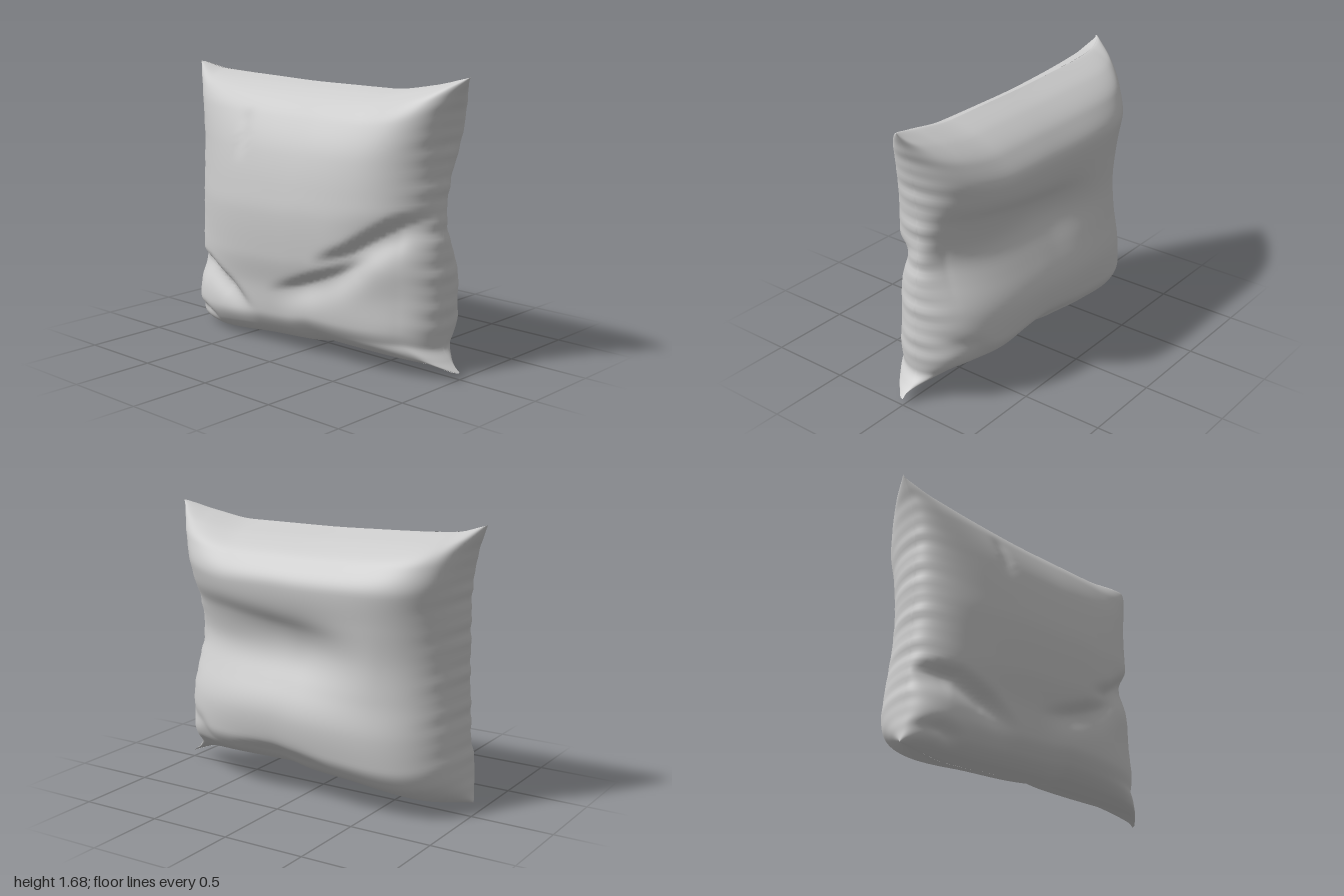
import * as THREE from 'three';

// Monotone cubic interpolation through [t, value] pairs
function curve(pts) {
  const n = pts.length;
  const d = [];
  for (let i = 0; i < n - 1; i++) d.push((pts[i + 1][1] - pts[i][1]) / (pts[i + 1][0] - pts[i][0]));
  const m = pts.map((p, i) => {
    if (i === 0) return d[0];
    if (i === n - 1) return d[n - 2];
    return d[i - 1] * d[i] <= 0 ? 0 : (2 * d[i - 1] * d[i]) / (d[i - 1] + d[i]);
  });
  return (t) => {
    let i = 0;
    while (i < n - 2 && t > pts[i + 1][0]) i++;
    const h = pts[i + 1][0] - pts[i][0];
    const s = Math.min(1, Math.max(0, (t - pts[i][0]) / h));
    const s2 = s * s, s3 = s2 * s;
    return (2 * s3 - 3 * s2 + 1) * pts[i][1] + (s3 - 2 * s2 + s) * h * m[i]
      + (3 * s2 - 2 * s3) * pts[i + 1][1] + (s3 - s2) * h * m[i + 1];
  };
}
const { lerp, smoothstep } = THREE.MathUtils;

// Seam outline: top and bottom heights over u, side positions over v
const topY = curve([[-1, 1.66], [-0.85, 1.62], [-0.4, 1.6], [0, 1.59], [0.5, 1.59], [0.8, 1.63], [1, 1.68]]);
const bottomY = curve([[-1, 0.04], [-0.72, 0], [-0.3, 0.03], [0, 0.05], [0.2, 0.08], [0.55, 0.08], [0.84, 0.08], [1, 0.04]]);
const minusX = curve([[-1, -0.96], [-0.9, -0.95], [-0.65, -0.935], [-0.3, -0.91], [0, -0.9], [0.45, -0.9], [0.75, -0.93], [1, -1]]);
const plusX = curve([[-1, 1], [-0.93, 0.93], [-0.84, 0.88], [-0.7, 0.89], [-0.3, 0.88], [0.1, 0.85], [0.4, 0.86], [0.65, 0.89], [0.85, 0.94], [1, 1]]);
const topZ = curve([[-1, 0.1], [-0.6, 0.04], [0, 0.01], [0.6, 0], [1, -0.04]]);
const bottomZ = curve([[-1, 0.11], [-0.6, 0.14], [0, 0.12], [0.6, 0.08], [1, 0]]);

// Depth of the stuffed panels down the middle, over v
const toV = ([y, z]) => [(y - 0.05) / 0.77 - 1, z];
const frontZ = curve([[0.05, 0.12], [0.08, 0.2], [0.14, 0.275], [0.23, 0.325], [0.4, 0.345], [0.6, 0.385], [0.85, 0.4],
  [1, 0.385], [1.2, 0.345], [1.4, 0.255], [1.5, 0.17], [1.56, 0.085], [1.59, 0.01]].map(toV));
const backZ = curve([[0.05, 0.12], [0.085, 0], [0.15, -0.17], [0.23, -0.31], [0.33, -0.375], [0.5, -0.395], [0.7, -0.365],
  [0.9, -0.345], [1.1, -0.36], [1.28, -0.375], [1.43, -0.29], [1.53, -0.15], [1.59, 0.01]].map(toV));

// Folds: path points, depth, width above the line, width below it
const frontFolds = [
  { path: [[0.95, 0.95], [0.72, 0.86], [0.45, 0.68], [0.2, 0.58]], depth: 0.07, above: 0.04, below: 0.12 },
  { path: [[0.6, 0.66], [0.35, 0.54], [0.1, 0.44], [-0.2, 0.34]], depth: 0.05, above: 0.04, below: 0.1, inner: true },
  { path: [[-0.93, 0.46], [-0.72, 0.43], [-0.52, 0.33], [-0.28, 0.18]], depth: 0.065, above: 0.035, below: 0.1 },
  { path: [[-0.95, 0.12], [-0.8, 0.11], [-0.65, 0.04]], depth: 0.04, above: 0.04, below: 0.05 },
  { path: [[-0.42, 1.45], [-0.4, 1.3], [-0.4, 1.1]], depth: 0.01, above: 0.04, below: 0.05, inner: true },
];
const backFolds = [
  { path: [[0.9, 1.12], [0.5, 1.09], [0.1, 1.03], [-0.4, 0.97]], depth: 0.025, above: 0.07, below: 0.12 },
  { path: [[0.45, 0.25], [0.1, 0.27], [-0.3, 0.22]], depth: 0.03, above: 0.06, below: 0.08, inner: true },
  { path: [[0.9, 0.42], [0.7, 0.36], [0.55, 0.2]], depth: 0.02, above: 0.05, below: 0.08 },
];

// Depth of a fold at a point, fading towards the ends that lie on the panel
function foldDepth({ path, depth, above, below, inner }, x, y) {
  let best = Infinity, side = 1, along = 0;
  for (let i = 0; i < path.length - 1; i++) {
    const [ax, ay] = path[i], [bx, by] = path[i + 1];
    const dx = bx - ax, dy = by - ay;
    const t = Math.min(1, Math.max(0, ((x - ax) * dx + (y - ay) * dy) / (dx * dx + dy * dy)));
    const px = x - ax - t * dx, py = y - ay - t * dy;
    const dist = Math.hypot(px, py);
    if (dist < best) { best = dist; side = py; along = (i + t) / (path.length - 1); }
  }
  const w = side > 0 ? above : below;
  const fade = (1 - smoothstep(along, 0.6, 1)) * (inner ? smoothstep(along, 0, 0.35) : 1);
  return depth * Math.exp(-((best / w) ** 2)) * fade;
}

// Fullness across the width: blunt at the sides, zero on the seam, fuller at the back
const fullness = (u, dir) => {
  const power = dir < 0 ? 4 : u < 0 ? 3 : 2.5;
  return Math.sqrt(Math.max(0, 1 - Math.pow(Math.abs(u), power)));
};

function pillowPoint(u, v, dir) {
  const p = fullness(u, dir);
  const edgeU = Math.max(0, 1 - u * u), edgeV = Math.max(0, 1 - v * v);
  const inside = Math.min(1, p * 1.6) * Math.min(1, edgeV * 4);
  // Small gathers along the side seams
  const gather = 0.004 * (Math.sin(v * 31) + Math.sin(v * 53 + 1)) * edgeV * Math.pow(Math.abs(u), 14);
  const x = lerp(minusX(v), plusX(v), (u + 1) / 2) + gather;
  const y = lerp(bottomY(u), topY(u), (v + 1) / 2);
  const seam = lerp(bottomZ(u), topZ(u), (v + 1) / 2);
  let z = lerp(seam, (dir > 0 ? frontZ : backZ)(v), p);
  // Stuffing pushed into the corners
  z += dir * 0.45 * Math.sqrt(edgeU * edgeV) * Math.pow(Math.abs(u * v), 3);
  let push = 0;
  for (const fold of dir > 0 ? frontFolds : backFolds) push += foldDepth(fold, x, y);
  if (dir < 0) {
    // Broad hollow across the back, open towards one side
    push += 0.085 * Math.exp(-(((y - 0.88) / 0.2) ** 2)) * smoothstep(x, -0.55, 0);
  } else {
    // Lower corner sags behind the long fold
    push += 0.03 * smoothstep(x, 0.3, 0.8) * (1 - smoothstep(y, 0.75, 0.95));
  }
  z -= dir * push * inside;
  return [x, y, z];
}

// One cloth panel, with rows crowded towards the seam
function panel(name, dir, material) {
  const N = 100, pos = [], index = [];
  const spread = (i) => Math.sin((i / N - 0.5) * Math.PI);
  for (let j = 0; j <= N; j++)
    for (let i = 0; i <= N; i++) pos.push(...pillowPoint(spread(i), spread(j), dir));
  for (let j = 0; j < N; j++) {
    for (let i = 0; i < N; i++) {
      const a = j * (N + 1) + i, b = a + 1, c = a + N + 1, d = c + 1;
      if (dir > 0) index.push(a, b, d, a, d, c);
      else index.push(a, d, b, a, c, d);
    }
  }
  const geometry = new THREE.BufferGeometry();
  geometry.setAttribute('position', new THREE.Float32BufferAttribute(pos, 3));
  geometry.setIndex(index);
  geometry.computeVertexNormals();
  const mesh = new THREE.Mesh(geometry, material);
  mesh.name = name;
  return mesh;
}

export function createModel() {
  const group = new THREE.Group();
  group.name = 'pillow';
  const cloth = new THREE.MeshStandardMaterial({ color: 0xcccccc, side: THREE.DoubleSide });
  group.add(panel('frontPanel', 1, cloth), panel('backPanel', -1, cloth));
  return group;
}
